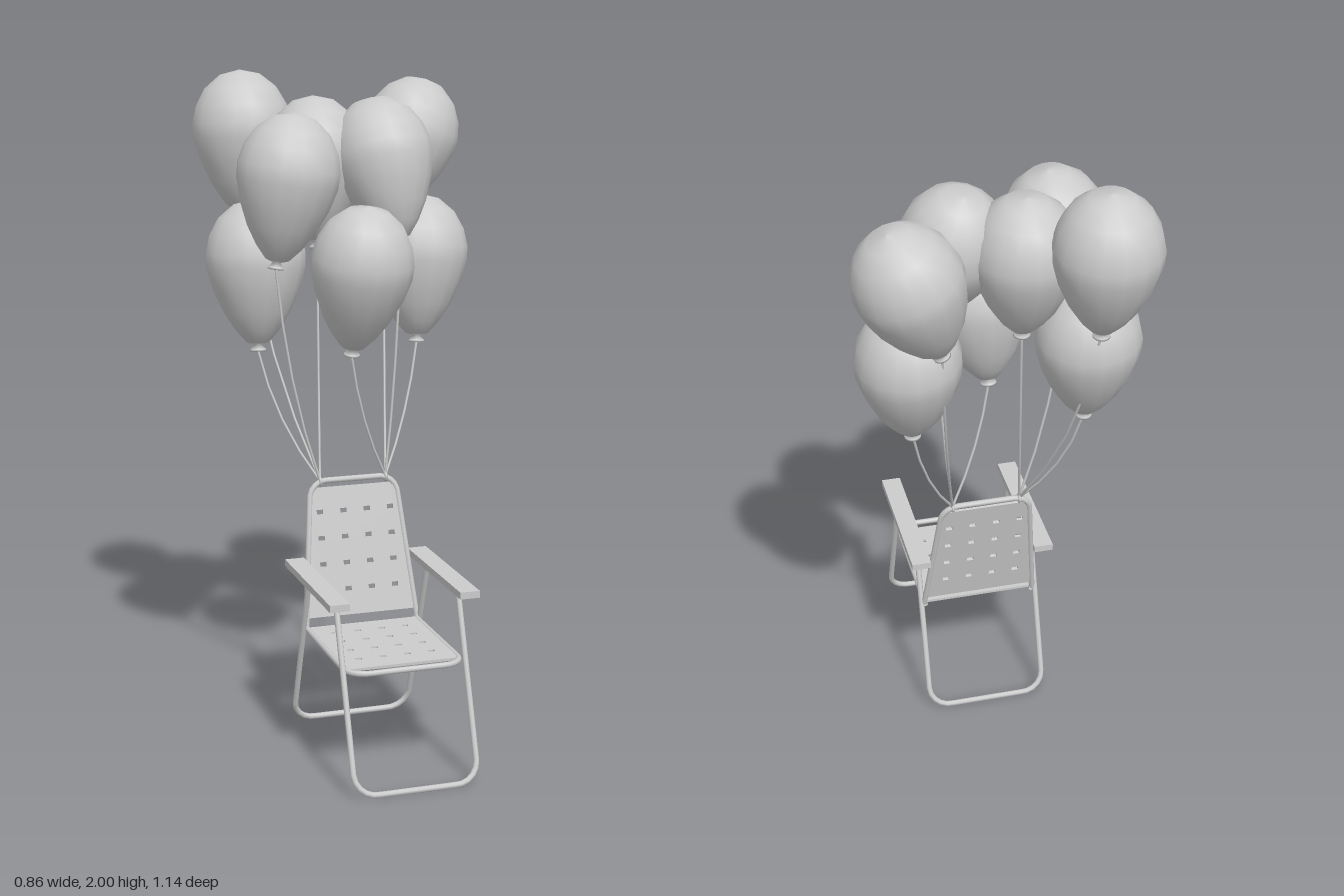
import * as THREE from 'three';

const grey = new THREE.MeshStandardMaterial({ color: 0xcccccc, side: THREE.DoubleSide });
const CHAIR_X = -0.03;

function add(parent, name, geometry) {
  const mesh = new THREE.Mesh(geometry, grey);
  mesh.name = name;
  parent.add(mesh);
  return mesh;
}

// Open tube through the points, its inner corners rounded
function bentTube(points, corner, radius = 0.009) {
  const p = points.map((a) => new THREE.Vector3(...a));
  const path = new THREE.CurvePath();
  let from = p[0];
  for (let i = 1; i < p.length - 1; i++) {
    const a = p[i].clone().add(p[i - 1].clone().sub(p[i]).setLength(corner));
    const b = p[i].clone().add(p[i + 1].clone().sub(p[i]).setLength(corner));
    path.add(new THREE.LineCurve3(from, a));
    path.add(new THREE.CubicBezierCurve3(a, a.clone().lerp(p[i], 0.55), b.clone().lerp(p[i], 0.55), b));
    from = b;
  }
  path.add(new THREE.LineCurve3(from, p[p.length - 1]));
  return new THREE.TubeGeometry(path, 64, radius, 8);
}

// Thin tapered sheet with chamfered far corners and a 4 x 4 grid of slots
function perforatedPanel(y0, y1, half0, half1, firstRow, chamfer) {
  const shape = new THREE.Shape([
    [-half0, y0], [half0, y0], [half1, y1 - chamfer], [half1 - chamfer, y1],
    [-half1 + chamfer, y1], [-half1, y1 - chamfer],
  ].map(([x, y]) => new THREE.Vector2(x, y)));
  for (let row = 0; row < 4; row++) {
    for (let col = 0; col < 4; col++) {
      const x = (col - 1.5) * 0.075, y = firstRow + row * 0.08, w = 0.01, h = 0.007;
      shape.holes.push(new THREE.Path([
        new THREE.Vector2(x - w, y - h), new THREE.Vector2(x - w, y + h),
        new THREE.Vector2(x + w, y + h), new THREE.Vector2(x + w, y - h),
      ]));
    }
  }
  const geometry = new THREE.ExtrudeGeometry(shape, { depth: 0.008, bevelEnabled: false });
  return geometry.translate(0, 0, -0.004);
}

function createChair() {
  const chair = new THREE.Group();
  chair.name = 'chair';
  chair.position.x = CHAIR_X;

  // U-shaped legs, front and rear
  const legs = (name, zTop, zFoot) => add(chair, name, bentTube([
    [-0.187, 0.535, zTop], [-0.187, 0.01, zFoot], [0.187, 0.01, zFoot], [0.187, 0.535, zTop],
  ], 0.065));
  legs('frontLegs', 0.375, 0.562);
  legs('rearLegs', 0.108, -0.08);

  // Armrests
  for (const side of [-1, 1]) {
    add(chair, side > 0 ? 'leftArmrest' : 'rightArmrest', new THREE.BoxGeometry(0.06, 0.021, 0.47))
      .position.set(side * 0.197, 0.541, 0.214);
  }

  // Seat
  add(chair, 'seatFrame', bentTube([
    [-0.175, 0.343, 0.035], [-0.175, 0.343, 0.468], [0.175, 0.343, 0.468], [0.175, 0.343, 0.035],
  ], 0.06));
  add(chair, 'seatPanel', perforatedPanel(0.045, 0.432, 0.172, 0.172, 0.115, 0.004).rotateX(Math.PI / 2))
    .position.y = 0.345;

  // Reclined back
  const back = new THREE.Group();
  back.name = 'backrest';
  back.position.set(0, 0.345, 0.04);
  back.rotation.x = -Math.atan(0.095 / 0.437);
  chair.add(back);
  add(back, 'backFrame', bentTube([[-0.178, 0, 0], [-0.136, 0.445, 0], [0.136, 0.445, 0], [0.178, 0, 0]], 0.05));
  add(back, 'backPanel', perforatedPanel(0.03, 0.425, 0.174, 0.138, 0.11, 0.022));
  return chair;
}

// Teardrop body with a flared knot, origin at the knot
function balloonGeometry() {
  const profile = [
    [0.001, 0.006], [0.025, 0], [0.024, 0.006], [0.011, 0.02], [0.035, 0.028], [0.068, 0.065], [0.102, 0.118],
    [0.134, 0.19], [0.152, 0.255], [0.154, 0.3], [0.141, 0.355], [0.111, 0.408], [0.062, 0.448], [0, 0.462],
  ].map(([r, y]) => new THREE.Vector2(r, y));
  return new THREE.LatheGeometry(profile, 16);
}

export function createModel() {
  const model = new THREE.Group();
  model.name = 'balloonChair';
  model.add(createChair());

  const balloon = balloonGeometry();
  const up = new THREE.Vector3(0, 1, 0);
  // Knot position, then x and z of the widest ring, then the tied side
  const balloons = [
    [[-0.27, 1.54, -0.39], [-0.272, -0.415], -1],
    [[-0.27, 1.44, -0.045], [-0.228, -0.055], -1],
    [[-0.09, 1.47, -0.22], [-0.088, -0.25], -1],
    [[0.125, 1.49, -0.06], [0.095, -0.157], 1],
    [[0.175, 1.53, -0.375], [0.275, -0.415], 1],
    [[-0.283, 1.163, -0.21], [-0.28, -0.24], -1],
    [[-0.05, 1.175, 0], [-0.03, 0.04], 1],
    [[0.225, 1.163, -0.2], [0.242, -0.238], 1],
  ];
  balloons.forEach(([knot, [x, z], side], i) => {
    const start = new THREE.Vector3(...knot);
    const axis = new THREE.Vector3(x, knot[1] + 0.27, z).sub(start).normalize();
    const mesh = add(model, `balloon${i + 1}`, balloon);
    mesh.position.copy(start);
    mesh.quaternion.setFromUnitVectors(up, axis);

    // Slack string down to the top rail
    const tie = new THREE.Vector3(CHAIR_X + side * 0.105, 0.78, -0.054);
    const sag = tie.clone().lerp(start, 0.75);
    sag.y = THREE.MathUtils.lerp(tie.y, start.y, 0.45);
    const curve = new THREE.QuadraticBezierCurve3(tie, sag, start);
    add(model, `string${i + 1}`, new THREE.TubeGeometry(curve, 4, 0.004, 6));
  });

  // String loops around the top rail
  for (const side of [-1, 1]) {
    const loop = add(model, side > 0 ? 'leftStringLoop' : 'rightStringLoop', new THREE.TorusGeometry(0.011, 0.005, 6, 12));
    loop.position.set(CHAIR_X + side * 0.105, 0.778, -0.055);
    loop.rotation.y = Math.PI / 2;
  }
  return model;
}
